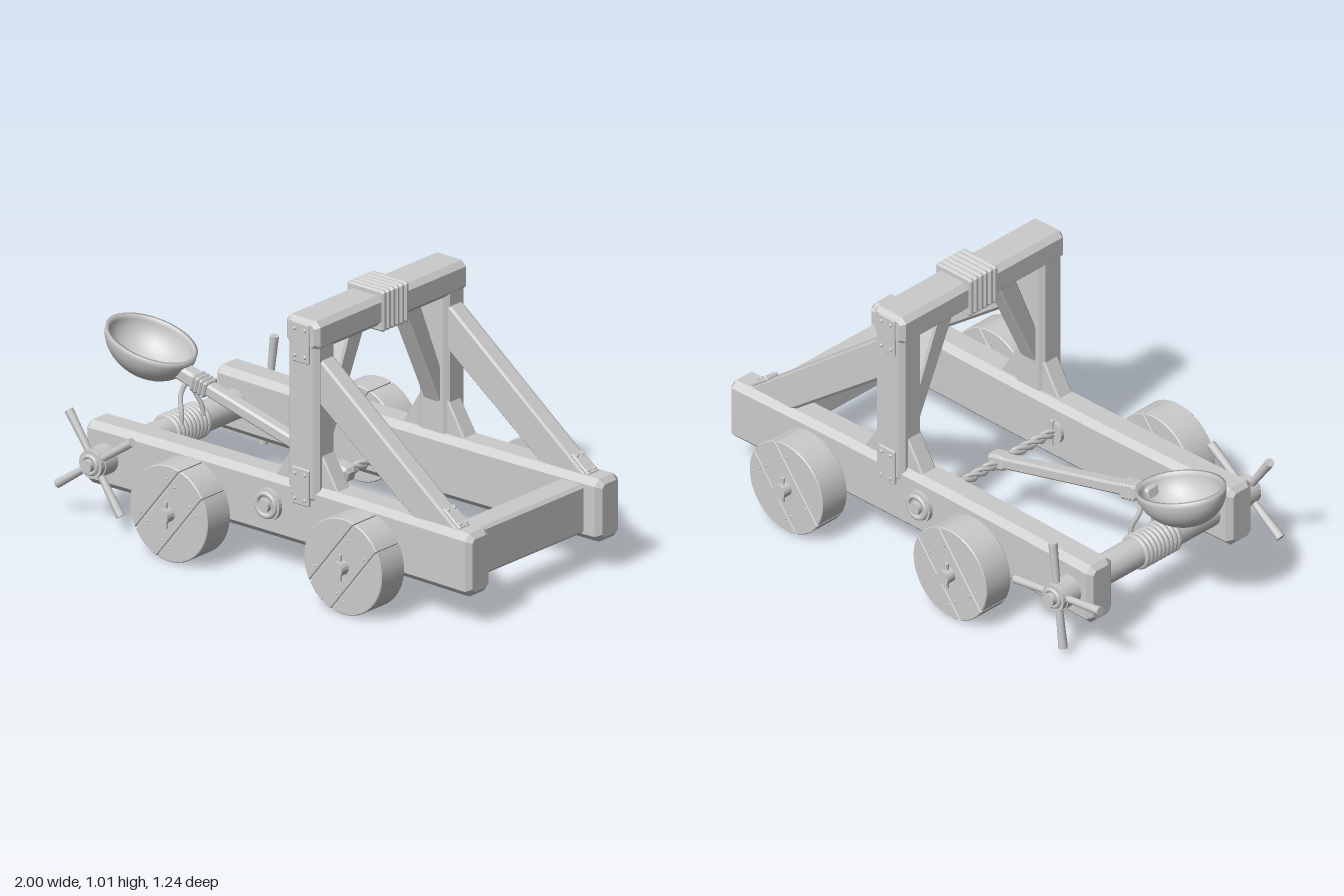
import * as THREE from 'three';

const mat = new THREE.MeshStandardMaterial({ color: 0xcccccc, side: THREE.DoubleSide });
const flat = new THREE.MeshStandardMaterial({ color: 0xcccccc, flatShading: true });
const V = (x, y, z) => new THREE.Vector3(x, y, z);

export function createModel() {
  const root = new THREE.Group();

  const add = (name, geo, x = 0, y = 0, z = 0, parent = root, m = flat) => {
    const mesh = new THREE.Mesh(geo, m);
    mesh.name = name;
    mesh.position.set(x, y, z);
    parent.add(mesh);
    return mesh;
  };
  const group = (name, x, y, z, parent = root) => {
    const g = new THREE.Group();
    g.name = name;
    g.position.set(x, y, z);
    parent.add(g);
    return g;
  };

  // outline extruded along z, centred, with chamfered edges
  const prism = (pts, depth, b = 0.01, steps = 1) => {
    const shape = pts instanceof THREE.Shape ? pts
      : new THREE.Shape(pts.map(p => new THREE.Vector2(p[0], p[1])));
    return new THREE.ExtrudeGeometry(shape, {
      depth: depth - 2 * b, steps, curveSegments: 14, bevelEnabled: b > 0,
      bevelThickness: b, bevelSize: b, bevelOffset: -b, bevelSegments: 1,
    }).translate(0, 0, b - depth / 2);
  };
  // timber with chamfered corners, long along z
  const beam = (w, h, len, b = 0.015, steps = 1) => {
    const x = w / 2, y = h / 2;
    return prism([[x - b, -y], [x, b - y], [x, y - b], [x - b, y],
      [b - x, y], [-x, y - b], [-x, b - y], [b - x, -y]], len, b * 0.8, steps);
  };
  const rod = (r, len, sides = 16) =>
    new THREE.CylinderGeometry(r, r, len, sides).rotateX(Math.PI / 2);
  const tube = (pts, r, n = 20) =>
    new THREE.TubeGeometry(new THREE.CatmullRomCurve3(pts), n, r, 6);

  // iron plate with rivets, facing +z
  const plate = (name, w, h, x, y, z, s) => {
    const g = group(name, x, y, z);
    add('plate', beam(w, h, 0.014, 0.004), 0, 0, 0, g);
    for (const i of [-1, 1]) for (const j of [-1, 1])
      add('rivet', new THREE.SphereGeometry(0.007, 8, 6), i * w * 0.28, j * h * 0.34, s * 0.007, g);
    return g;
  };

  // wheel made of three planks with narrow joints
  const buildWheel = (parent) => {
    const R = 0.18, gap = 0.003, cut = 0.065;
    const hi = Math.asin((cut + gap) / R), lo = Math.asin((cut - gap) / R);
    const planks = group('wheelPlanks', 0, 0, 0, parent);
    planks.rotation.z = 0.9;
    for (const s of [0, Math.PI]) {
      const side = new THREE.Shape();
      side.absarc(0, 0, R, hi + s, Math.PI - hi + s, false);
      add('outerPlank', prism(side, 0.125, 0.003), 0, 0, 0, planks);
    }
    const mid = new THREE.Shape();
    mid.absarc(0, 0, R, -lo, lo, false);
    mid.absarc(0, 0, R, Math.PI - lo, Math.PI + lo, false);
    add('middlePlank', prism(mid, 0.125, 0.003), 0, 0, 0, planks);
    add('wheelCore', rod(0.172, 0.115, 28), 0, 0, 0, planks);
    for (const f of [-1, 1]) for (const x of [-0.1, 0.1]) for (const y of [-0.085, -0.045, 0.045, 0.085])
      add('nail', new THREE.SphereGeometry(0.005, 6, 4), x, y, f * 0.0625, planks);
  };

  for (const s of [1, -1]) {
    // long side rail, bowed slightly inwards
    const rail = beam(0.125, 0.237, 1.78, 0.024, 10).rotateY(-Math.PI / 2);
    const p = rail.attributes.position;
    for (let i = 0; i < p.count; i++)
      p.setZ(i, p.getZ(i) - s * 0.014 * (1 - (p.getX(i) / 0.89) ** 2));
    rail.computeVertexNormals();
    add('sideRail', rail, 0.11, 0.237, s * 0.354);

    // upright post and its braces
    add('post', beam(0.14, 0.11, 0.6, 0.018).rotateX(Math.PI / 2), 0.22, 0.6, s * 0.355);
    add('longBrace', prism([[0.27, 0.85], [0.27, 0.675], [0.72, 0.34], [0.93, 0.34]], 0.075, 0.01),
      0, 0, s * 0.35);
    add('kneeBrace', prism([[0.31, 0.45], [0.31, 0.6], [0.195, 0.88], [0.105, 0.88]], 0.075, 0.008)
      .rotateY(-s * Math.PI / 2), 0.22, 0, 0);
    for (const d of [-1, 1])
      add('footBrace', prism([[0.06, 0.34], [0.15, 0.34], [0.06, 0.49], [0.03, 0.49]]
        .map(q => [d * q[0], q[1]]), 0.07, 0.006), 0.22, 0, s * 0.345);

    // iron plates
    plate('upperPlate', 0.08, 0.15, 0.22, 0.895, s * 0.411, s);
    plate('lowerPlate', 0.08, 0.14, 0.22, 0.352, s * 0.411, s);
    const foot = plate('bracePlate', 0.06, 0.1, 0.885, 0.382, s * 0.35, 1);
    foot.rotation.set(-Math.PI / 2, 0.62, Math.PI / 2, 'ZYX');
    foot.rotation.set(0, Math.PI / 2, 0);
    foot.rotateX(-0.92);

    // wheels on short axles with locking pins
    for (const x of [-0.25, 0.555]) {
      const w = group('wheel', x, 0.18, s * 0.5175);
      buildWheel(w);
      add('axle', rod(0.028, 0.2), 0, 0, 0, w);
      add('axleCollar', rod(0.048, 0.1), 0, 0, -s * 0.1, w);
      add('axlePin', new THREE.CylinderGeometry(0.008, 0.008, 0.1, 8), 0, 0, s * 0.078, w);
    }

    // torsion bushing through the rail
    const b = group('ropeBushing', 0.065, 0.245, 0);
    add('outerWasher', rod(0.06, 0.03, 24), 0, 0, s * 0.405, b);
    add('outerRing', new THREE.TorusGeometry(0.042, 0.01, 8, 24), 0, 0, s * 0.42, b, mat);
    add('bushingCap', rod(0.024, 0.05), 0, 0, s * 0.413, b);
    add('innerWasher', rod(0.045, 0.03, 24), 0, 0, s * 0.277, b);
    add('crossPin', new THREE.CylinderGeometry(0.01, 0.01, 0.1, 8), 0, 0, s * 0.262, b);

    // four-spoke winch handle
    const h = group('winchHandle', -0.68, 0.235, s * 0.475);
    add('handleHub', rod(0.052, 0.05, 20), 0, 0, 0, h);
    add('hubRing', new THREE.TorusGeometry(0.032, 0.009, 8, 20), 0, 0, s * 0.027, h, mat);
    add('hubCap', rod(0.024, 0.04), 0, 0, s * 0.03, h);
    for (let k = 0; k < 4; k++) {
      const a = (s > 0 ? 0.61 : 1.45) + k * Math.PI / 2;
      const spoke = add('spoke', new THREE.CylinderGeometry(0.017, 0.013, 0.17, 10),
        Math.cos(a) * 0.125, Math.sin(a) * 0.125, 0, h, mat);
      spoke.rotation.z = a - Math.PI / 2;
    }
  }

  // cross timbers
  add('endCrossbeam', beam(0.11, 0.185, 0.62, 0.012), 0.875, 0.235, 0);
  add('topBeam', beam(0.155, 0.113, 0.825, 0.02), 0.22, 0.928, 0);
  for (let i = 0; i < 6; i++)
    add('beamLashing', beam(0.172, 0.155, 0.023, 0.008), 0.22, 0.928, -0.068 + i * 0.0242);

  // winch drum with rope turns
  add('winchDrum', rod(0.056, 0.96, 20), -0.68, 0.235, 0, root, mat);
  for (let i = 0; i < 9; i++)
    add('drumRope', new THREE.TorusGeometry(0.057, 0.011, 8, 24), -0.68, 0.235, -0.08 + i * 0.02, root, mat);
  for (const s of [1, -1])
    add('pullRope', tube([V(-0.63, 0.25, s * 0.06), V(-0.635, 0.31, s * 0.055), V(-0.655, 0.37, s * 0.035),
      V(-0.64, 0.42, s * 0.012), V(-0.62, 0.42, 0)], 0.009), 0, 0, 0, root, mat);

  // twisted rope skein
  for (let k = 0; k < 3; k++) {
    const pts = [];
    for (let i = 0; i <= 40; i++) {
      const a = i * 0.6 + k * Math.PI * 2 / 3;
      pts.push(V(0.065 + 0.011 * Math.cos(a), 0.245 + 0.011 * Math.sin(a), -0.28 + i * 0.014));
    }
    add('ropeSkein', tube(pts, 0.009, 90), 0, 0, 0, root, mat);
  }

  // throwing arm, lashing and bowl
  const arm = group('throwingArm', 0.065, 0.25, 0);
  arm.rotation.z = -0.253;
  add('armShaft', beam(0.05, 0.046, 0.8, 0.008).rotateY(Math.PI / 2), -0.36, 0, 0, arm);
  add('armButt', beam(0.06, 0.06, 0.07, 0.01).rotateY(Math.PI / 2), 0, 0, 0, arm);
  add('armSocket', beam(0.062, 0.055, 0.1, 0.01).rotateY(Math.PI / 2), -0.73, 0.002, 0, arm);
  for (let i = 0; i < 4; i++)
    add('armLashing', beam(0.068, 0.064, 0.017, 0.007).rotateY(Math.PI / 2), -0.695 + i * 0.018, 0, 0, arm);
  const profile = [];
  for (let i = 0; i <= 12; i++) {
    const a = i / 12 * Math.PI / 2;
    profile.push(new THREE.Vector2(Math.sin(a), -Math.cos(a)));
  }
  for (let i = 12; i >= 0; i--) {
    const a = i / 12 * Math.PI / 2;
    profile.push(new THREE.Vector2(0.92 * Math.sin(a), -0.9 * Math.cos(a)));
  }
  const bowl = add('bowl', new THREE.LatheGeometry(profile, 32), -0.927, 0.05, 0, arm, mat);
  bowl.scale.set(0.183, 0.142, 0.144);

  return root;
}
